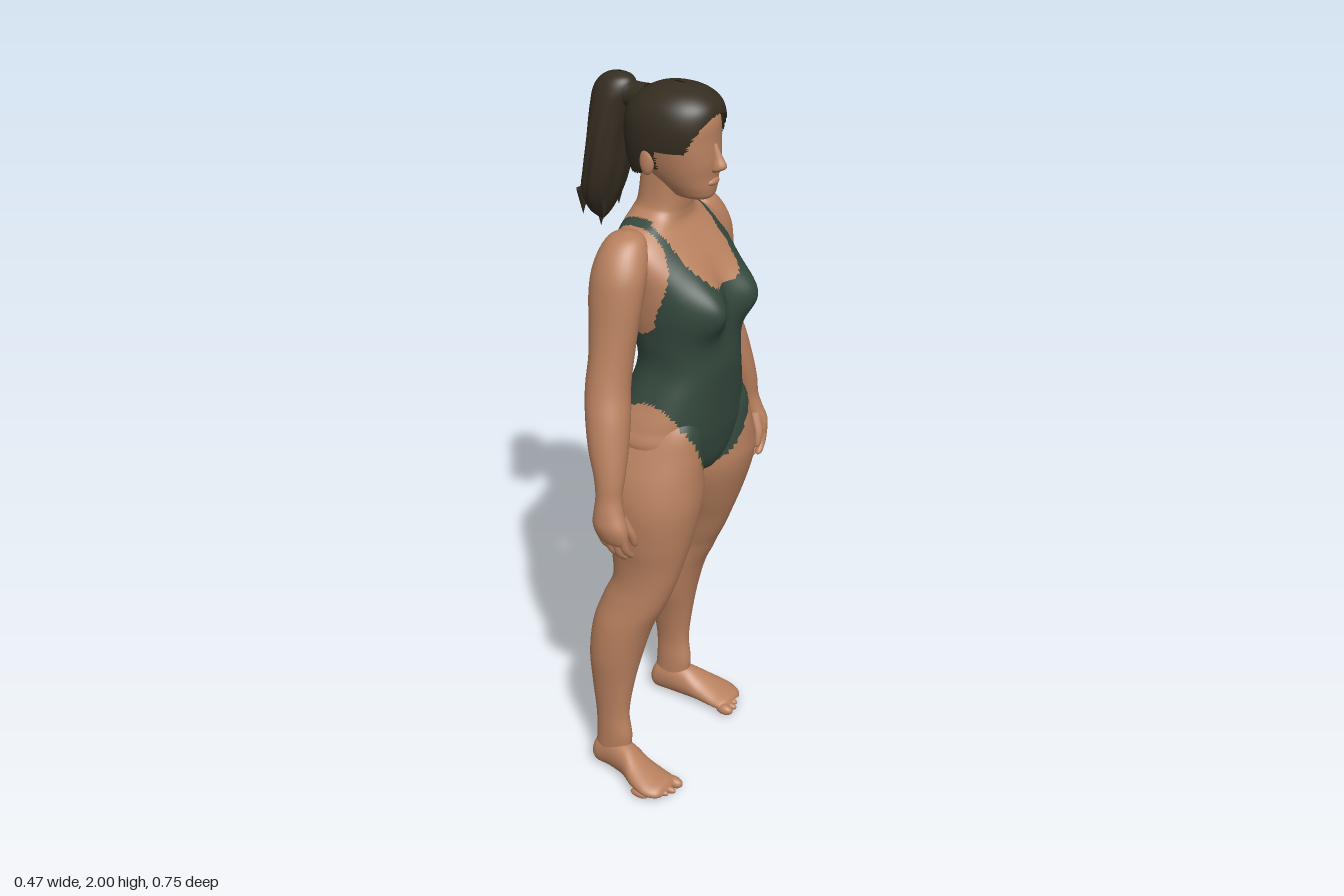
import * as THREE from 'three';

const mat = (name, color, side = THREE.FrontSide) => {
  const m = new THREE.MeshStandardMaterial({ color, side });
  m.name = name;
  return m;
};

const { clamp, lerp } = THREE.MathUtils;

// Catmull-Rom through rows of numbers
function sample(rows, t) {
  const n = rows.length - 1, i = Math.min(Math.floor(t * n), n - 1), f = t * n - i;
  const at = k => rows[clamp(k, 0, n)];
  return rows[i].map((_, c) => {
    const [a, b, d, e] = [at(i - 1)[c], at(i)[c], at(i + 1)[c], at(i + 2)[c]];
    return 0.5 * (2 * b + (d - a) * f + (2 * a - 5 * b + 4 * d - e) * f * f + (3 * b - a - 3 * d + e) * f * f * f);
  });
}

// Skin over rings [along, centreA, centreZ, radiusA, radiusZ].
// Axis y: rows rise and A is x. Axis x: rows run toward -x and A is y.
// paint(x, y, z) picks a material index per face, or -1 to leave a hole.
function loft(name, rows, materials, { axis = 'y', around = 32, steps = 6, n = 2, shape, paint } = {}) {
  const rings = (rows.length - 1) * steps, pos = [], p = new THREE.Vector3();
  for (let i = 0; i <= rings; i++) {
    const [l, ca, cz, ra, rz] = sample(rows, i / rings);
    for (let j = 0; j < around; j++) {
      const th = (j / around) * Math.PI * 2, c = Math.cos(th), s = Math.sin(th);
      const a = ca + Math.max(ra, 0.001) * Math.sign(c) * Math.abs(c) ** (2 / n);
      const z = cz + Math.max(rz, 0.001) * Math.sign(s) * Math.abs(s) ** (2 / n);
      if (axis === 'y') p.set(a, l, z); else p.set(l, a, z);
      if (shape) shape(p, th);
      pos.push(p.x, p.y, p.z);
    }
  }
  const lists = materials.map(() => []);
  const add = (...tri) => {
    const mid = [0, 1, 2].map(k => tri.reduce((sum, v) => sum + pos[v * 3 + k], 0) / 3);
    const m = paint ? paint(...mid) : 0;
    if (m >= 0) lists[m].push(...tri);
  };
  for (let i = 0; i < rings; i++) for (let j = 0; j < around; j++) {
    const k = (j + 1) % around, a = i * around + j, b = a + around, c = i * around + k, d = c + around;
    add(a, b, c);
    add(c, b, d);
  }
  const g = new THREE.BufferGeometry();
  g.setAttribute('position', new THREE.Float32BufferAttribute(pos, 3));
  g.setIndex(lists.flat());
  let start = 0;
  lists.forEach((l, m) => { g.addGroup(start, l.length, m); start += l.length; });
  g.computeVertexNormals();
  const mesh = new THREE.Mesh(g, materials);
  mesh.name = name;
  return mesh;
}

// Rows given as edges: [y, back, front, halfWidth] or [y, back, front, inner, outer]
const body = rows => rows.map(([y, b, f, w]) => [y, (b + f) / 2, 0, (f - b) / 2, w]);
const limb = (rows, s) => rows.map(([y, b, f, i, o]) => [y, (b + f) / 2, s * (i + o) / 2, (f - b) / 2, (o - i) / 2]);

// Swimsuit outline: leg openings, scooped neck, armholes and open back
function suitAt(x, y, z) {
  const w = Math.abs(z);
  const legCurve = lerp(5.8, 8.6, clamp((x + 0.1) / 0.15, 0, 1));
  if (y < Math.min(0.94 + legCurve * w * w, 1.2) || y > 1.68) return 0;
  const front = clamp((x - 0.04) / 0.09, 0, 1);
  const outer = lerp(0.118, Math.max(0.115, 0.19 - 0.45 * (y - 1.47)), front);
  if (y > 1.38 + 0.07 * front && w > outer) return 0;
  const inner = x > 0.03 ? 0.09 + 0.1 * Math.max(0, y - 1.53) : 0.092;
  const scoop = (x > 0.03 ? 1.5 : 1.37) + 0.07 * (w / inner) ** 4;
  return y > scoop && w < inner ? 0 : 1;
}

const gauss = (d, s) => Math.exp(-(d * d) / (s * s));

function shapeTorso(p) {
  const w = Math.abs(p.z);
  if (p.x > 0.06) p.x += 0.062 * gauss(p.y - 1.455, 0.075) * gauss(w - 0.085, 0.06) * clamp((p.x - 0.06) / 0.06, 0, 1);
  if (p.x < -0.02) p.x -= 0.028 * gauss(p.y - 1.06, 0.07) * gauss(w - 0.09, 0.06);
}

export function createModel() {
  const skin = mat('skin', 0xb9815f);
  const suit = mat('swimsuit', 0x34483d);
  const hair = mat('hair', 0x352d21, THREE.DoubleSide);
  const model = new THREE.Group();
  model.name = 'woman';

  const ball = (name, m, x, y, z, a, b, c, parent) => {
    const o = new THREE.Mesh(new THREE.SphereGeometry(1, 20, 14), m);
    o.name = name;
    o.position.set(x, y, z);
    o.scale.set(a, b, c);
    parent.add(o);
  };

  // Torso and neck
  model.add(loft('torso', body([
    [0.935, 0.02, 0.06, 0.002], [0.95, -0.06, 0.14, 0.04], [0.99, -0.105, 0.17, 0.13], [1.07, -0.122, 0.185, 0.21],
    [1.13, -0.11, 0.19, 0.2], [1.2, -0.06, 0.195, 0.17], [1.28, -0.04, 0.2, 0.142], [1.36, -0.055, 0.192, 0.148],
    [1.43, -0.08, 0.185, 0.16], [1.5, -0.09, 0.17, 0.17], [1.56, -0.09, 0.14, 0.178], [1.61, -0.085, 0.1, 0.17],
    [1.645, -0.077, 0.073, 0.13], [1.67, -0.07, 0.068, 0.086], [1.7, -0.06, 0.07, 0.068], [1.79, -0.05, 0.075, 0.062],
  ]), [skin, suit], { around: 112, steps: 8, n: 2.35, shape: shapeTorso, paint: suitAt }));

  // Head, nose and lips
  model.add(loft('head', body([
    [1.712, 0.07, 0.1, 0.004], [1.722, 0.03, 0.138, 0.038], [1.745, 0, 0.148, 0.055], [1.78, -0.04, 0.15, 0.072],
    [1.82, -0.07, 0.153, 0.085], [1.87, -0.085, 0.15, 0.095], [1.92, -0.075, 0.146, 0.092], [1.96, -0.04, 0.12, 0.07],
    [1.985, 0.01, 0.05, 0.02],
  ]), [skin], { around: 40, n: 2.2 }));
  model.add(loft('nose', body([
    [1.788, 0.138, 0.148, 0.004], [1.798, 0.135, 0.17, 0.016], [1.81, 0.135, 0.182, 0.016], [1.832, 0.135, 0.17, 0.011],
    [1.865, 0.135, 0.153, 0.007],
  ]), [skin], { around: 16 }));
  ball('lips', skin, 0.143, 1.766, 0, 0.013, 0.011, 0.024, model);

  // Hair cap with an open face, tie and ponytail
  const hairline = (x, y, z) => {
    const low = x < 0 ? 1.765 + 0.3 * Math.max(0, x + 0.06) : x < 0.04 ? 1.8 : 1.852;
    const face = 0.08 * Math.sqrt(Math.max(0, 1 - (Math.max(0, y - 1.86) / 0.082) ** 2));
    return y < low || (x > 0.1 && Math.abs(z) < face) ? -1 : 0;
  };
  model.add(loft('hairCap', body([
    [1.75, -0.07, 0.06, 0.07], [1.79, -0.088, 0.1, 0.088], [1.83, -0.095, 0.14, 0.1], [1.87, -0.098, 0.16, 0.106],
    [1.92, -0.092, 0.163, 0.104], [1.96, -0.065, 0.152, 0.088], [1.987, -0.02, 0.115, 0.055], [2, 0.03, 0.06, 0.004],
  ]), [hair], { around: 72, steps: 7, n: 2.15, paint: hairline }));
  model.add(loft('hairTie', [[-0.05, 1.92, 0, 0.055, 0.05], [-0.09, 1.94, 0, 0.035, 0.032], [-0.14, 1.945, 0, 0.04, 0.045]],
    [hair], { axis: 'x' }));
  model.add(loft('ponytail', body([
    [1.59, -0.2, -0.185, 0.005], [1.615, -0.222, -0.165, 0.03], [1.67, -0.236, -0.14, 0.062], [1.74, -0.225, -0.122, 0.074],
    [1.82, -0.215, -0.112, 0.073], [1.9, -0.208, -0.1, 0.062], [1.95, -0.2, -0.088, 0.05], [1.98, -0.175, -0.095, 0.032],
    [1.993, -0.14, -0.125, 0.004],
  ]), [hair], {
    around: 48,
    shape: (p, th) => {
      const r = 0.05 * Math.sin(th * 9 + p.y * 8) * clamp((1.95 - p.y) / 0.2, 0, 1);
      p.x += (p.x + 0.17) * r;
      p.z *= 1 + r;
    },
  }));
  [[-0.215, -0.035, 1.62], [-0.195, 0, 1.6], [-0.165, 0.03, 1.635], [-0.222, 0.04, 1.64], [-0.17, -0.045, 1.65]].forEach(([x, z, y]) => {
    const tip = new THREE.Mesh(new THREE.ConeGeometry(0.018, 0.07, 7), hair);
    tip.name = 'ponytailTip';
    tip.rotation.x = Math.PI;
    tip.position.set(x, y, z);
    model.add(tip);
  });

  for (const s of [1, -1]) {
    const side = s > 0 ? 'left' : 'right';
    ball(side + 'Ear', skin, 0.015, 1.82, s * 0.097, 0.02, 0.035, 0.012, model);

    // Arm and palm
    const arm = new THREE.Group();
    arm.name = side + 'Arm';
    arm.add(loft('arm', limb([
      [0.865, 0.05, 0.1, 0.325, 0.35], [0.88, 0.028, 0.116, 0.318, 0.365], [0.92, 0.016, 0.116, 0.315, 0.377],
      [0.96, 0.017, 0.1, 0.308, 0.372], [1, 0.018, 0.09, 0.3, 0.364], [1.05, 0.008, 0.09, 0.283, 0.36],
      [1.12, -0.02, 0.085, 0.25, 0.352], [1.2, -0.042, 0.075, 0.22, 0.336], [1.27, -0.055, 0.062, 0.2, 0.315],
      [1.35, -0.057, 0.06, 0.18, 0.295], [1.43, -0.066, 0.065, 0.165, 0.28], [1.5, -0.075, 0.07, 0.148, 0.27],
      [1.56, -0.075, 0.07, 0.128, 0.258], [1.61, -0.065, 0.058, 0.11, 0.233], [1.643, -0.045, 0.038, 0.12, 0.2],
      [1.655, -0.008, 0.004, 0.15, 0.165],
    ], s), [skin], { steps: 4 }));
    // Fingers and thumb
    [0.038, 0.06, 0.083, 0.104].forEach((x, k) => {
      const tip = [0.828, 0.814, 0.81, 0.822][k];
      arm.add(loft('finger', [
        [tip, x + 0.006, s * 0.313, 0.002, 0.002], [tip + 0.008, x + 0.006, s * 0.318, 0.01, 0.01],
        [tip + 0.035, x + 0.004, s * 0.337, 0.011, 0.012], [0.9, x, s * 0.348, 0.013, 0.014],
      ], [skin], { around: 12, steps: 4 }));
    });
    arm.add(loft('thumb', [
      [0.852, 0.112, s * 0.302, 0.002, 0.002], [0.862, 0.112, s * 0.304, 0.01, 0.01], [0.9, 0.108, s * 0.315, 0.013, 0.013],
      [0.95, 0.085, s * 0.33, 0.016, 0.018],
    ], [skin], { around: 12, steps: 4 }));
    model.add(arm);

    // Leg; the right one stands a little further back and inward
    const leg = new THREE.Group();
    leg.name = side + 'Leg';
    const back = y => (s > 0 ? 0 : -0.055 * clamp((0.95 - y) / 0.35, 0, 1));
    const inward = y => (s > 0 ? 0 : 0.05 * clamp(1 - y / 0.95, 0, 1));
    leg.add(loft('leg', limb([
      [0.04, -0.085, 0.02, 0.185, 0.248], [0.12, -0.078, 0.032, 0.182, 0.25], [0.2, -0.08, 0.022, 0.18, 0.25],
      [0.3, -0.092, 0.032, 0.158, 0.258], [0.4, -0.1, 0.05, 0.125, 0.268], [0.5, -0.092, 0.078, 0.11, 0.264],
      [0.58, -0.068, 0.115, 0.108, 0.248], [0.65, -0.042, 0.14, 0.095, 0.237], [0.72, -0.048, 0.158, 0.075, 0.238],
      [0.8, -0.06, 0.175, 0.042, 0.25], [0.9, -0.075, 0.19, 0.012, 0.257], [0.98, -0.118, 0.19, 0.006, 0.248],
      [1.06, -0.142, 0.186, 0.015, 0.222], [1.13, -0.105, 0.175, 0.04, 0.19], [1.2, -0.01, 0.12, 0.08, 0.15],
    ], s), [skin, suit], {
      around: 56,
      n: 2.1,
      paint: suitAt,
      shape: p => { p.x += back(p.y); p.z -= s * inward(p.y); },
    }));
    // Foot and toes
    const foot = new THREE.Group();
    foot.name = side + 'Foot';
    foot.position.set(back(0), 0, -s * inward(0));
    foot.add(loft('foot', [
      [0.178, 0.02, s * 0.24, 0.006, 0.03], [0.165, 0.022, s * 0.242, 0.019, 0.05], [0.13, 0.026, s * 0.246, 0.026, 0.058],
      [0.08, 0.036, s * 0.24, 0.036, 0.053], [0.03, 0.05, s * 0.226, 0.05, 0.042], [-0.03, 0.054, s * 0.218, 0.054, 0.036],
      [-0.075, 0.044, s * 0.216, 0.044, 0.031], [-0.094, 0.034, s * 0.216, 0.012, 0.01],
    ], [skin], { axis: 'x' }));
    for (let k = 0; k < 5; k++) {
      const r = k ? 0.0115 : 0.017;
      ball('toe', skin, 0.17 - 0.006 * k * k * 0.6, r, s * (0.203 + (k ? 0.008 : 0) + 0.0205 * k), 0.028, r, r, foot);
    }
    leg.add(foot);
    model.add(leg);
  }
  return model;
}
